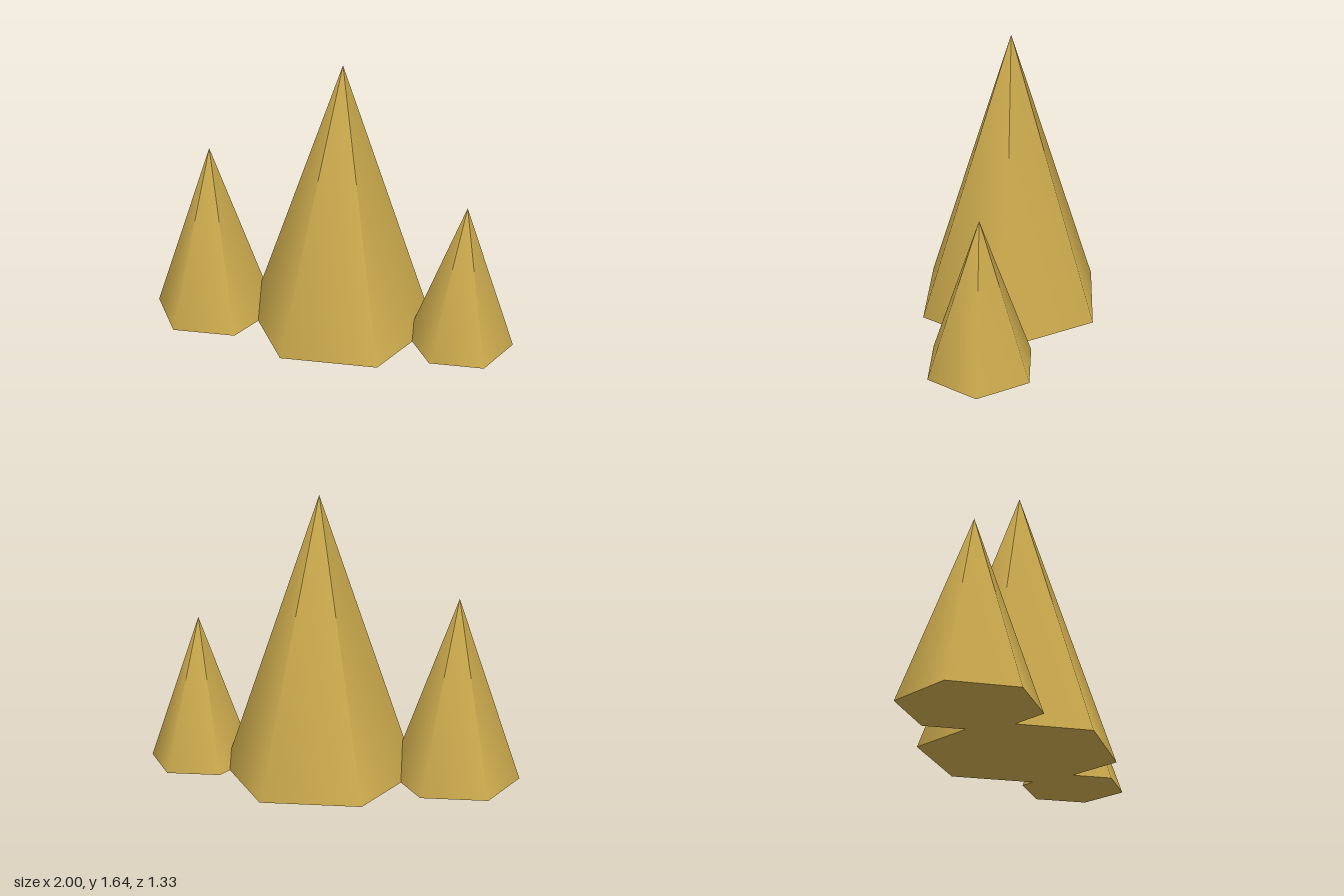
import * as THREE from 'three';

export function createModel() {
  const group = new THREE.Group();
  const material = new THREE.MeshStandardMaterial({ color: 0xc9a84c });

  // Six-sided spike standing on the ground, one corner towards the front
  function addSpike(name, x, z, radius, height) {
    const spike = new THREE.Mesh(new THREE.ConeGeometry(radius, height, 6), material);
    spike.name = name;
    spike.position.set(x, height / 2, z);
    group.add(spike);
  }

  addSpike('centreSpike', 0.025, -0.096, 0.571, 1.645);
  addSpike('rightSpike', -0.671, 0.285, 0.38, 1.075);
  addSpike('leftSpike', 0.726, -0.352, 0.316, 0.885);

  return group;
}
